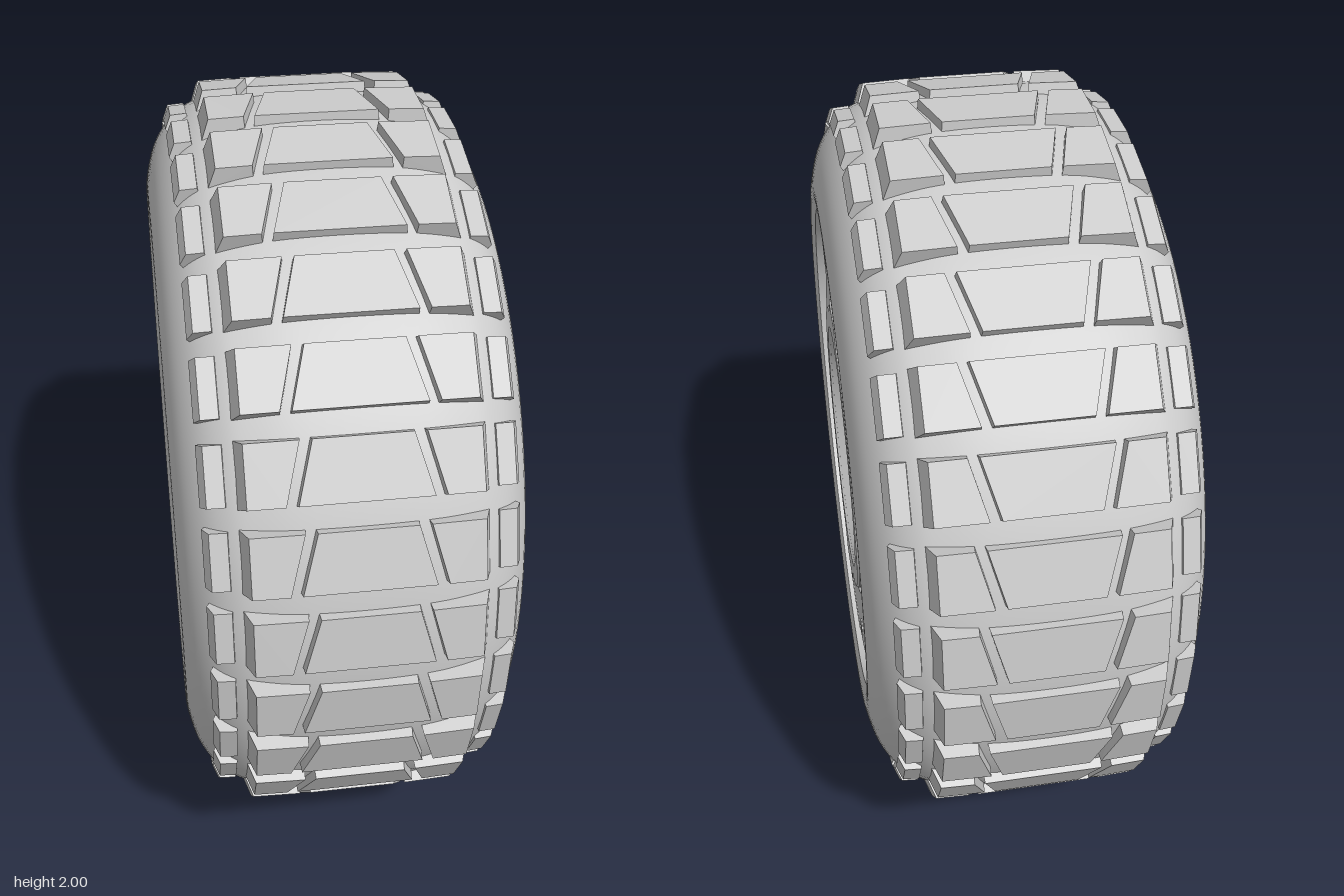
import * as THREE from 'three';
import { toCreasedNormals } from 'three/addons/utils/BufferGeometryUtils.js';
import { ConvexGeometry } from 'three/addons/geometries/ConvexGeometry.js';

const material = new THREE.MeshStandardMaterial({ color: 0xcccccc });
const openMaterial = new THREE.MeshStandardMaterial({ color: 0xcccccc, side: THREE.DoubleSide });
const RAD = Math.PI / 180;
const TREADS = 30;

function add(parent, name, geometry, mat = material) {
  const mesh = new THREE.Mesh(geometry, mat);
  mesh.name = name;
  parent.add(mesh);
  return mesh;
}

// Revolves [x, radius] points about the x axis
function revolve(points, crease = 0.5, start = 0, sweep = Math.PI * 2, segments = 96) {
  const profile = points.map(([x, r]) => new THREE.Vector2(r, x));
  const geometry = new THREE.LatheGeometry(profile, segments, start, sweep);
  geometry.rotateZ(-Math.PI / 2);
  return toCreasedNormals(geometry, crease);
}

// Extrudes a shape along x between two positions
function extrudeX(shape, x0, x1, bevel = 0) {
  const geometry = new THREE.ExtrudeGeometry(shape, {
    depth: x1 - x0 - bevel, curveSegments: 32, bevelEnabled: bevel > 0,
    bevelSize: bevel, bevelThickness: bevel, bevelOffset: -bevel, bevelSegments: 1,
  });
  geometry.rotateY(Math.PI / 2).translate(x0, 0, 0);
  return toCreasedNormals(geometry, 0.5);
}

const hull = (points) => new ConvexGeometry(points.map((p) => new THREE.Vector3(...p)));

function circleHole(x, y, r) {
  return new THREE.Path().absarc(x, y, r, 0, Math.PI * 2, true);
}

// Tread block from a four-sided plan of [x, z], with a slightly inset top
function treadBlock(plan) {
  const cx = plan.reduce((s, p) => s + p[0], 0) / 4;
  const points = [];
  for (const [x, z] of plan) {
    points.push([x, 0.935, z]);
    const inset = Math.abs(x) > 0.25 ? 0.02 : 0.005;
    const tx = x - Math.sign(x - cx) * inset;
    points.push([tx, 0.999 - 0.08 * tx * tx, z * 0.95]);
  }
  return hull(points);
}

function createTread() {
  const tread = new THREE.Group();
  tread.name = 'tread';
  const h = 0.077;
  const centre = treadBlock([[-0.157, h], [0.157, h], [0.118, -h], [-0.118, -h]]);
  const sides = [1, -1].map((s) =>
    treadBlock([[0.174 * s, h], [0.285 * s, h], [0.285 * s, -h], [0.136 * s, -h]]));
  const section = [[0.3, 0.9], [0.308, 0.938], [0.35, 0.935], [0.364, 0.9], [0.345, 0.87]];
  const shoulders = [1, -1].map((s) =>
    hull(section.flatMap(([x, r]) => [[x * s, r, 0.07], [x * s, r, -0.07]])));
  for (let i = 0; i < TREADS; i++) {
    const row = new THREE.Group();
    row.name = 'treadRow';
    row.rotation.x = (i / TREADS) * Math.PI * 2;
    add(row, 'centreBlock', centre);
    sides.forEach((g) => add(row, 'sideBlock', g));
    shoulders.forEach((g) => add(row, 'shoulderBlock', g));
    tread.add(row);
  }
  return tread;
}

function createTyre() {
  const half = [[0.15, 0.974], [0.25, 0.955], [0.305, 0.934], [0.355, 0.893],
    [0.395, 0.83], [0.417, 0.755], [0.421, 0.71], [0.412, 0.67]];
  const mirrored = half.map(([x, r]) => [-x, r]).reverse();
  const curve = new THREE.SplineCurve([...mirrored, [0, 0.98], ...half]
    .map((p) => new THREE.Vector2(...p)));
  return revolve(curve.getPoints(64).map((p) => [p.x, p.y]), 0.8);
}

// Traces a circle with a wider tab at the top and bottom
function traceTabbed(path, radius, tab) {
  const a = Math.asin(0.11 / radius);
  for (const s of [1, -1]) {
    const base = s > 0 ? 0 : Math.PI;
    path.absarc(0, 0, radius, base - Math.PI / 2 + a, base + Math.PI / 2 - a, false);
    path.lineTo(0.075 * s, tab * s);
    path.lineTo(-0.075 * s, tab * s);
  }
  path.closePath();
  return path;
}

function addScrew(parent, x, y, z) {
  const seat = add(parent, 'screwSeat', new THREE.TorusGeometry(0.021, 0.004, 6, 20));
  seat.rotation.y = Math.PI / 2;
  seat.position.set(x, y, z);
  const head = add(parent, 'screwHead', new THREE.CylinderGeometry(0.012, 0.012, 0.03, 16));
  head.rotation.z = Math.PI / 2;
  head.position.set(x - 0.018, y, z);
}

function createHub() {
  const hub = new THREE.Group();
  hub.name = 'hub';
  const face = 0.4, floor = 0.3;

  // Rim barrel and recessed floor
  add(hub, 'rimBarrel', revolve([[0.412, 0.67], [floor, 0.67], [floor, 0.3]]));

  // Face plate, cut back on both sides, with a tabbed opening and four screw holes
  const plate = new THREE.Shape();
  for (let i = 0; i < 4; i++) {
    const start = (46 + 90 * i) * RAD - (i % 2 ? 2 * RAD : 0);
    const end = start + (i % 2 ? 92 : 88) * RAD;
    plate.absarc(0, 0, i % 2 ? 0.5 : 0.605, start, end, false);
  }
  plate.closePath();
  plate.holes.push(traceTabbed(new THREE.Path(), 0.417, 0.457));
  for (const y of [-0.47, 0.47]) for (const z of [-0.25, 0.25]) {
    plate.holes.push(circleHole(z, y, 0.022));
    addScrew(hub, face, y, z);
  }
  add(hub, 'facePlate', extrudeX(plate, floor, face));

  // Sides: sloped flank down to the rim, corner wedges and one screw boss each
  for (const sz of [1, -1]) {
    const middle = sz > 0 ? 0 : 180;
    add(hub, 'sideFlank', revolve([[floor, 0.605], [face, 0.5]], 0.5,
      (middle - 46) * RAD, 92 * RAD, 32));
    const boss = add(hub, 'screwBoss', new THREE.CylinderGeometry(0.027, 0.03, 0.07, 20));
    boss.rotation.z = -Math.PI / 2;
    boss.position.set(0.332, 0, 0.54 * sz);
    addScrew(hub, 0.369, 0, 0.54 * sz);
    for (const sy of [1, -1]) {
      const at = (x, r, deg) => [x, r * Math.sin(deg * RAD) * sy, r * Math.cos(deg * RAD) * sz];
      add(hub, 'cornerWedge', hull([at(face, 0.5, 46), at(face, 0.604, 46), at(floor, 0.5, 46),
        at(floor, 0.604, 46), at(floor, 0.5, 42), at(floor, 0.604, 39)]));
    }
  }

  // Sloped clips at the top and bottom, and small marks on the rim floor
  for (const side of [-90, 90]) {
    add(hub, 'rimClip', revolve([[floor, 0.638], [face - 0.01, 0.61], [face + 0.003, 0.59]], 0.3,
      (side - 16) * RAD, 32 * RAD, 12), openMaterial);
  }
  for (const deg of [51.5, 128.5, 231.5, 308.5]) {
    const mark = add(hub, 'floorMark', new THREE.BoxGeometry(0.012, 0.008, 0.035));
    mark.position.set(floor + 0.003, 0.635 * Math.sin(deg * RAD), 0.635 * Math.cos(deg * RAD));
    mark.rotation.x = -deg * RAD - Math.PI / 2;
  }

  // Tabbed centre collar set in a narrow groove, with a conical cup
  const collar = traceTabbed(new THREE.Shape(), 0.402, 0.445);
  collar.holes.push(circleHole(0, 0, 0.335));
  add(hub, 'grooveFloor', extrudeX(traceTabbed(new THREE.Shape(), 0.425, 0.465), 0.3, 0.325));
  add(hub, 'collar', extrudeX(collar, 0.3, 0.41, 0.006));
  add(hub, 'centreCup', revolve([[0.41, 0.341], [0.404, 0.335], [0.33, 0.254], [0.33, 0]], 0.3));
  return hub;
}

export function createModel() {
  const wheel = new THREE.Group();
  wheel.name = 'wheel';
  wheel.position.y = 1;
  add(wheel, 'tyre', createTyre());
  wheel.add(createTread());

  // The same hub on both sides
  const leftHub = createHub();
  const rightHub = createHub();
  rightHub.rotation.y = Math.PI;
  wheel.add(leftHub, rightHub);

  const model = new THREE.Group();
  model.name = 'model';
  model.add(wheel);
  return model;
}
